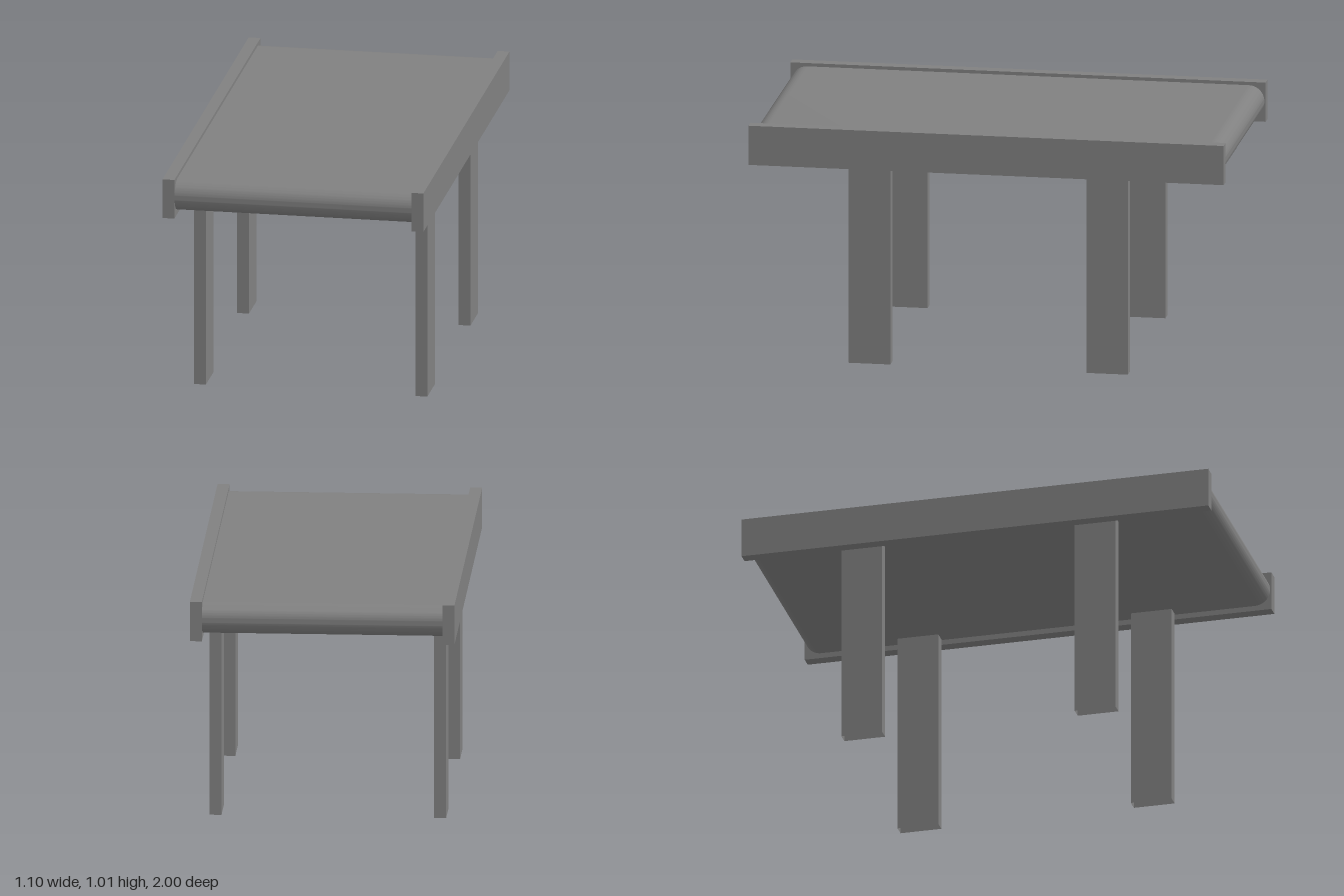
import * as THREE from 'three';
import { toCreasedNormals } from 'three/addons/utils/BufferGeometryUtils.js';

export function createModel() {
  const model = new THREE.Group();
  model.name = 'conveyorTable';
  const grey = new THREE.MeshStandardMaterial({ color: 0x808080, side: THREE.DoubleSide });
  grey.name = 'grey';

  const add = (name, geometry, x, y, z) => {
    const mesh = new THREE.Mesh(geometry, grey);
    mesh.name = name;
    mesh.position.set(x, y, z);
    model.add(mesh);
  };

  // Belt: a long slab with half-round ends, swept across the width
  const radius = 0.066, straight = 0.995 - radius, width = 1;
  const profile = new THREE.Shape();
  profile.moveTo(-straight, -radius);
  profile.lineTo(straight, -radius);
  profile.absarc(straight, 0, radius, -Math.PI / 2, Math.PI / 2, false);
  profile.lineTo(-straight, radius);
  profile.absarc(-straight, 0, radius, Math.PI / 2, Math.PI * 1.5, false);
  const sweep = new THREE.ExtrudeGeometry(profile, { depth: width, bevelEnabled: false, curveSegments: 24 });
  sweep.translate(0, 0, -width / 2).rotateY(-Math.PI / 2);
  add('belt', toCreasedNormals(sweep, 0.5), 0, 0.934, 0);

  // Leg: hollow box, open at the foot
  const legHeight = 0.87;
  const leg = new THREE.BoxGeometry(0.05, legHeight, 0.175);
  const faces = Array.from(leg.index.array);
  faces.splice(18, 6);
  leg.setIndex(faces);
  leg.clearGroups();

  // Side rails and the two legs inside each
  for (const side of [1, -1]) {
    const sideName = side > 0 ? 'left' : 'right';
    add(sideName + 'Rail', new THREE.BoxGeometry(0.05, 0.168, 2), side * 0.525, 0.93, 0);
    for (const end of [1, -1]) {
      add(sideName + (end > 0 ? 'FrontLeg' : 'BackLeg'), leg, side * 0.467, legHeight / 2, end * 0.5);
    }
  }
  return model;
}
